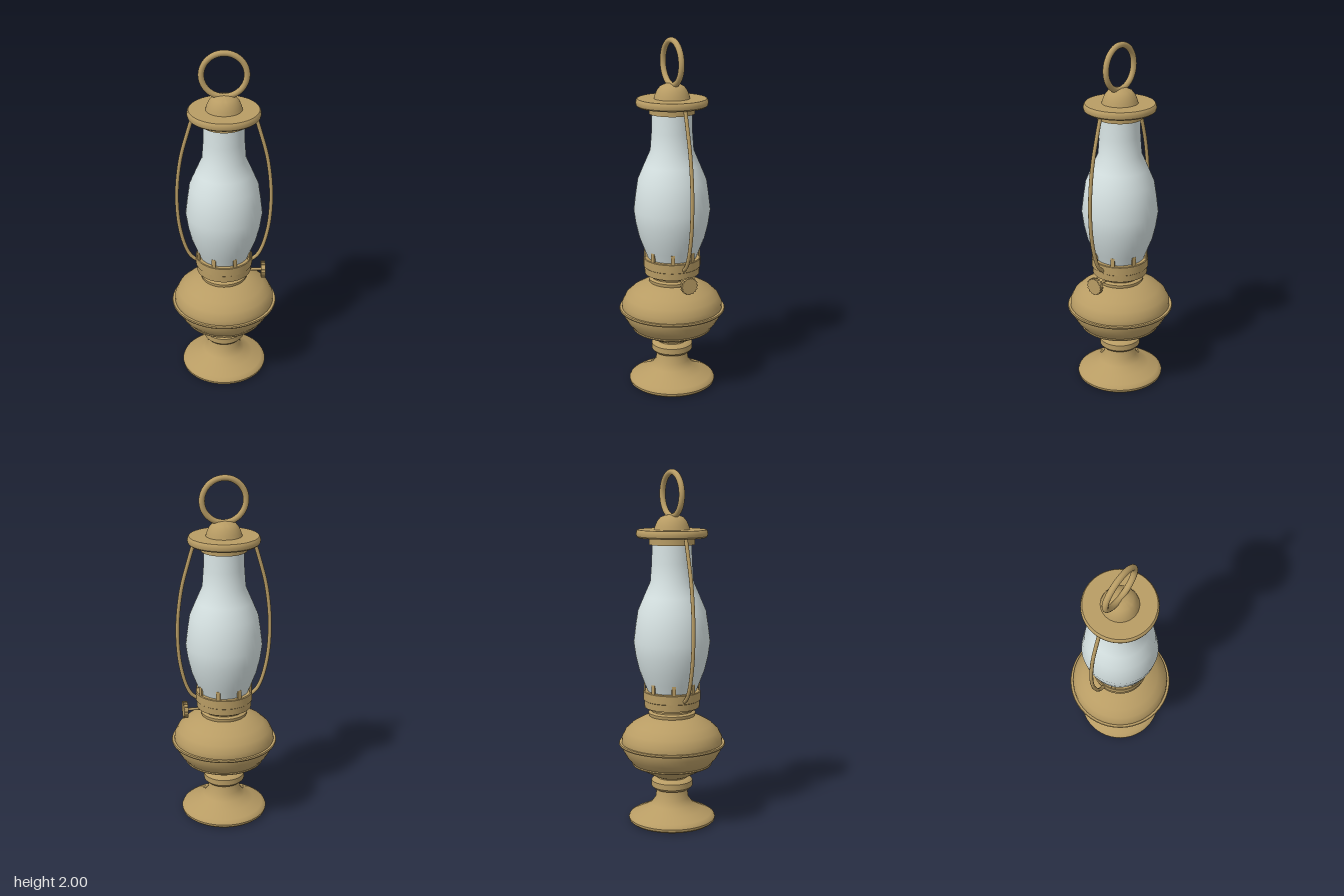
import * as THREE from 'three';
import { toCreasedNormals } from 'three/addons/utils/BufferGeometryUtils.js';

const brass = new THREE.MeshStandardMaterial({ color: 0xb89c64 });
const glass = new THREE.MeshStandardMaterial({ color: 0xd6e2e2, side: THREE.DoubleSide });

export function createModel() {
  const lamp = new THREE.Group();
  lamp.name = 'oilLamp';

  const add = (name, geometry, material = brass, parent = lamp) => {
    const mesh = new THREE.Mesh(geometry, material);
    mesh.name = name;
    parent.add(mesh);
    return mesh;
  };
  // Turned part from [radius, height] pairs, bottom to top
  const turned = (name, profile, material) => {
    const points = profile.map(([r, y]) => new THREE.Vector2(r, y));
    return add(name, toCreasedNormals(new THREE.LatheGeometry(points, 48), 0.6), material);
  };

  // Foot and stem
  turned('foot', [[0, 0.005], [0.235, 0.005], [0.246, 0.015], [0.248, 0.028], [0.242, 0.04],
    [0.225, 0.05], [0.17, 0.075], [0.12, 0.105], [0.095, 0.14], [0.086, 0.2], [0, 0.2]]);
  turned('stemCollar', [[0, 0.198], [0.105, 0.198], [0.117, 0.212], [0.117, 0.245],
    [0.105, 0.257], [0.085, 0.262], [0.08, 0.275], [0, 0.275]]);

  // Oil reservoir with its two seams
  turned('reservoir', [[0, 0.263], [0.075, 0.263], [0.11, 0.279], [0.165, 0.31], [0.22, 0.345],
    [0.255, 0.385], [0.278, 0.425], [0.287, 0.463], [0.285, 0.5], [0.265, 0.54],
    [0.225, 0.577], [0.175, 0.605], [0.13, 0.625], [0, 0.63]]);
  turned('upperSeam', [[0.27, 0.456], [0.3, 0.456], [0.303, 0.463], [0.3, 0.47], [0.27, 0.47]]);
  turned('lowerSeam', [[0.2, 0.34], [0.226, 0.34], [0.228, 0.345], [0.226, 0.351], [0.2, 0.351]]);

  // Burner
  turned('burnerNeck', [[0, 0.615], [0.125, 0.615], [0.133, 0.633], [0.133, 0.643],
    [0.118, 0.652], [0.118, 0.66], [0.135, 0.664], [0.135, 0.68], [0, 0.68]]);
  turned('burnerGallery', [[0, 0.676], [0.155, 0.676], [0.157, 0.715], [0.161, 0.718],
    [0.161, 0.766], [0.157, 0.77], [0, 0.77]]);

  // Prongs holding the chimney
  const prongs = new THREE.Group();
  prongs.name = 'prongs';
  lamp.add(prongs);
  for (let i = 0; i < 8; i++) {
    const a = (i + 0.5) * Math.PI / 4;
    const prong = add('prong', new THREE.BoxGeometry(0.022, 0.07, 0.01), brass, prongs);
    prong.position.set(Math.sin(a) * 0.154, 0.786, Math.cos(a) * 0.154);
    prong.rotation.y = a;
  }

  // Glass chimney
  turned('chimney', [[0.136, 0.765], [0.158, 0.82], [0.185, 0.89], [0.204, 0.97], [0.215, 1.05],
    [0.204, 1.14], [0.192, 1.22], [0.156, 1.305], [0.121, 1.385], [0.113, 1.49], [0.11, 1.6]], glass);

  // Cap
  turned('capCollar', [[0, 1.59], [0.126, 1.59], [0.126, 1.64], [0, 1.64]]);
  turned('capDisc', [[0, 1.632], [0.187, 1.628], [0.196, 1.636], [0.199, 1.65],
    [0.196, 1.665], [0.19, 1.672], [0, 1.672]]);
  turned('capDome', [[0.1, 1.668], [0.094, 1.69], [0.083, 1.716], [0.066, 1.738],
    [0.04, 1.75], [0, 1.755]]);

  // Hanging ring
  add('hangingRing', new THREE.TorusGeometry(0.12, 0.0165, 12, 48)).position.y = 1.8635;

  // Side wires
  for (const s of [1, -1]) {
    const path = new THREE.CatmullRomCurve3([[0.165, 1.64], [0.195, 1.54], [0.235, 1.39],
      [0.258, 1.22], [0.261, 1.08], [0.248, 0.94], [0.215, 0.81], [0.185, 0.755], [0.152, 0.73]]
      .map(([x, y]) => new THREE.Vector3(s * x, y, 0)));
    add(s > 0 ? 'leftWire' : 'rightWire', new THREE.TubeGeometry(path, 40, 0.0105, 10));
  }

  // Wick knob with ridged edge
  const knob = new THREE.Group();
  knob.name = 'wickKnob';
  knob.position.set(0.225, 0.663, 0);
  knob.rotation.z = -Math.PI / 2;
  lamp.add(knob);
  add('knobDisc', new THREE.CylinderGeometry(0.045, 0.045, 0.024, 24), brass, knob);
  add('knobShaft', new THREE.CylinderGeometry(0.008, 0.008, 0.11, 12), brass, knob).position.y = -0.06;
  for (let i = 0; i < 16; i++) {
    const a = i * Math.PI / 8;
    const ridge = add('knobRidge', new THREE.BoxGeometry(0.008, 0.024, 0.008), brass, knob);
    ridge.position.set(Math.sin(a) * 0.045, 0, Math.cos(a) * 0.045);
    ridge.rotation.y = a;
  }

  return lamp;
}
